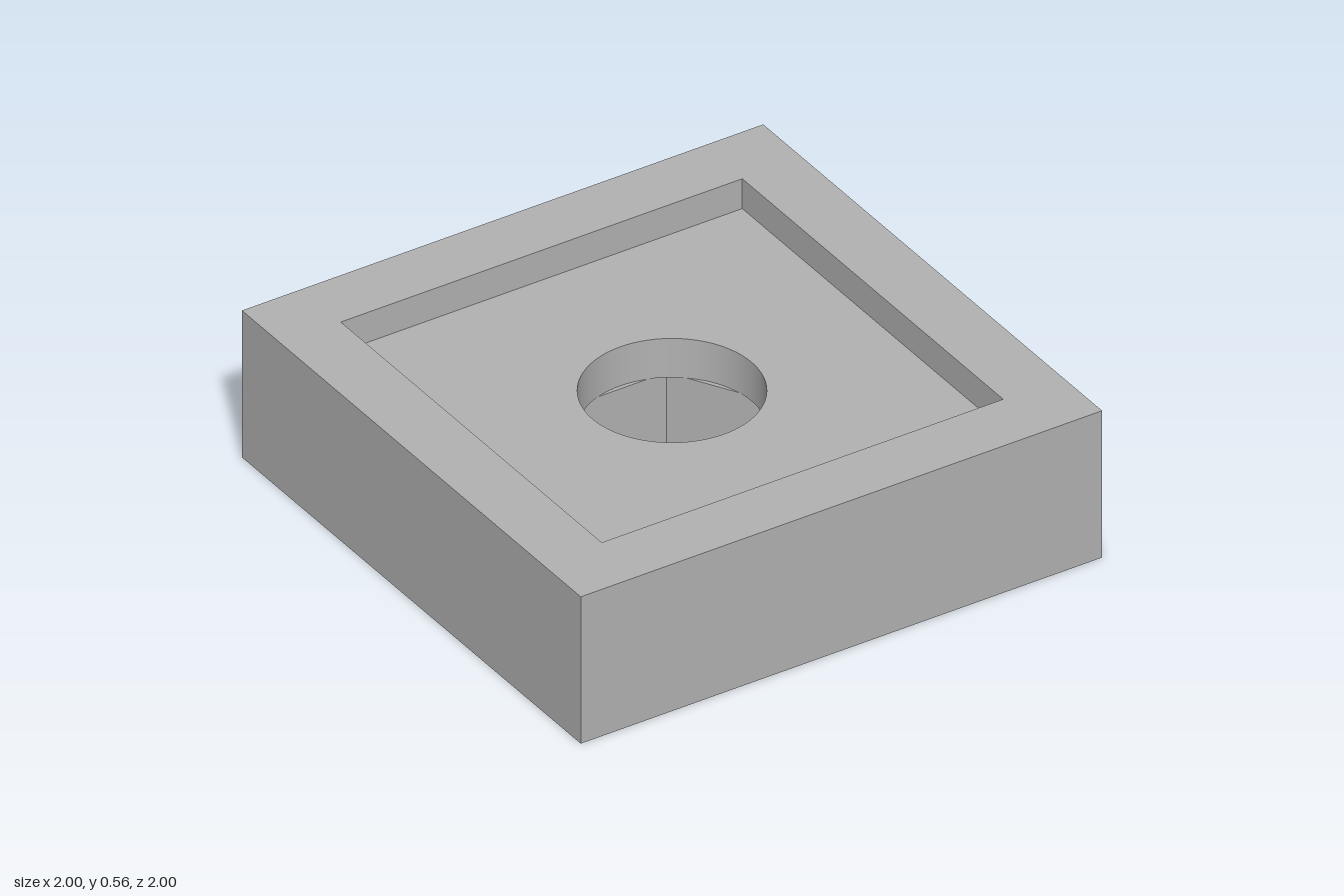
import * as THREE from 'three';

const HEIGHT = 0.565, FLOOR = 0.45, LEDGE = 0.3; // top rim, pocket floor, top of hex socket
const OUTER = 1, POCKET = 0.77;                  // half widths of the squares
const BORE = 0.305, FLAT = 0.29;                 // bore radius, hex half width across flats
const HEX = FLAT / Math.cos(Math.PI / 6);        // hex corner radius
const SEGMENTS = 96;

const polar = (r, a) => new THREE.Vector2(r * Math.cos(a), r * Math.sin(a));

// Regular polygon outline
function polygon(radius, sides, start = 0) {
  return Array.from({ length: sides }, (_, i) => polar(radius, start + (i / sides) * Math.PI * 2));
}

const square = (half) => polygon(half * Math.SQRT2, 4, Math.PI / 4);

// Points along an arc, both ends included
function arc(radius, from, to, steps = 10) {
  return Array.from({ length: steps + 1 }, (_, i) => polar(radius, from + ((to - from) * i) / steps));
}

export function createModel() {
  const group = new THREE.Group();
  const grey = new THREE.MeshStandardMaterial({ color: 0xb2b2b2 });
  grey.name = 'grey';

  function add(name, geometry) {
    const mesh = new THREE.Mesh(geometry, grey);
    mesh.name = name;
    group.add(mesh);
  }

  // Upright wall: rising faces outward, falling faces inward
  function wall(name, radius, sides, from, to, start, smooth = false) {
    const profile = [new THREE.Vector2(radius, from), new THREE.Vector2(radius, to)];
    let geometry = new THREE.LatheGeometry(profile, sides, start);
    if (!smooth) {
      geometry = geometry.toNonIndexed();
      geometry.computeVertexNormals();
    }
    add(name, geometry);
  }

  // Level face made from one or more outlines, with an optional hole
  function level(name, outlines, hole, y, up) {
    const shapes = outlines.map((points) => new THREE.Shape(points));
    if (hole) shapes[0].holes.push(new THREE.Path(hole));
    const geometry = new THREE.ShapeGeometry(shapes);
    geometry.rotateX(up ? -Math.PI / 2 : Math.PI / 2);
    geometry.translate(0, y, 0);
    add(name, geometry);
  }

  // Square block with a shallow square pocket
  wall('outerWalls', OUTER * Math.SQRT2, 4, 0, HEIGHT, Math.PI / 4);
  level('topRim', [square(OUTER)], square(POCKET), HEIGHT, true);
  wall('pocketWalls', POCKET * Math.SQRT2, 4, HEIGHT, FLOOR, Math.PI / 4);
  level('pocketFloor', [square(POCKET)], polygon(BORE, SEGMENTS), FLOOR, true);

  // Round bore above, hexagonal socket below
  wall('roundBore', BORE, SEGMENTS, FLOOR, LEDGE, 0, true);
  wall('hexSocket', HEX, 6, LEDGE, 0, Math.PI / 2);
  level('underside', [square(OUTER)], polygon(HEX, 6), 0, false);

  // Where bore and socket meet: hex corners face down, arc slivers face up
  const half = Math.acos(FLAT / BORE);
  const corners = [], slivers = [];
  for (let i = 0; i < 6; i++) {
    const corner = (i * Math.PI) / 3, side = corner + Math.PI / 6;
    const reach = Math.PI / 6 - half;
    corners.push([polar(HEX, corner), ...arc(BORE, corner + reach, corner - reach)]);
    slivers.push(arc(BORE, side - half, side + half));
  }
  level('socketCeiling', corners, null, LEDGE, false);
  level('boreLedge', slivers, null, LEDGE, true);

  return group;
}
